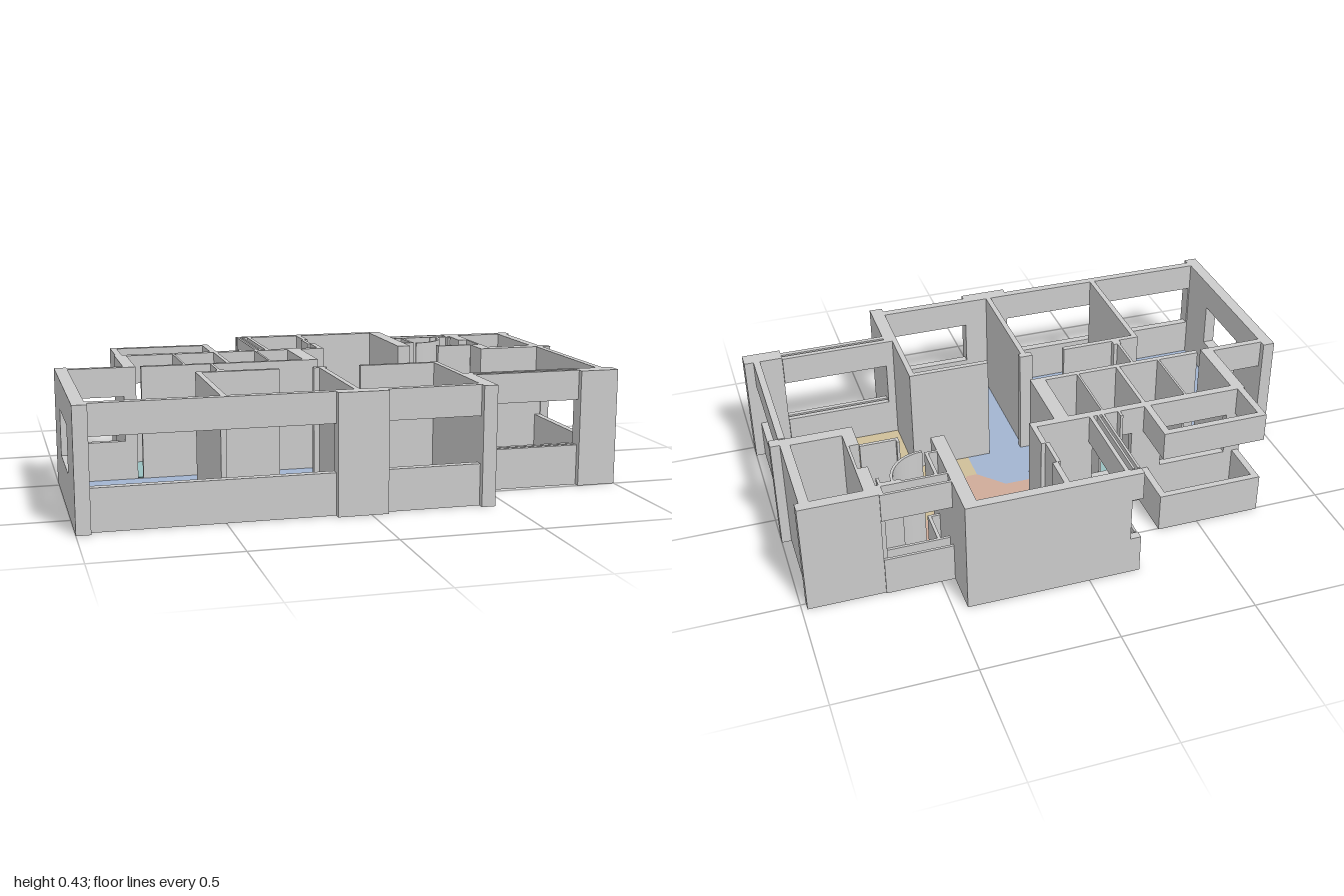
import * as THREE from 'three';

const HEIGHT = 0.43, SILL = 0.15, LINTEL = 0.32;
const grey = new THREE.MeshStandardMaterial({ color: 0xcccccc });
const colors = { blue: 0xa2b4d0, teal: 0x99c0c0, red: 0xcfab99, yellow: 0xcfbf99, beige: 0xc0bab0, stone: 0xb4b7ae };
const materials = {};
for (const key in colors) materials[key] = new THREE.MeshStandardMaterial({ color: colors[key] });

export function createModel() {
  const model = new THREE.Group();
  model.name = 'apartmentPlan';

  const box = (parent, name, [x0, x1, z0, z1], y0, y1) => {
    const mesh = new THREE.Mesh(new THREE.BoxGeometry(x1 - x0, y1 - y0, z1 - z0), grey);
    mesh.position.set((x0 + x1) / 2, (y0 + y1) / 2, (z0 + z1) / 2);
    mesh.name = name;
    parent.add(mesh);
  };
  const group = (name) => {
    const g = new THREE.Group();
    g.name = name;
    model.add(g);
    return g;
  };
  // Full-height walls, each given as x0, x1, z0, z1
  const walls = (name, list) => {
    const g = group(name);
    list.forEach((r) => box(g, 'wall', r, 0, HEIGHT));
  };
  // Window walls: a sill below and a lintel above an open band
  const windows = (name, list) => {
    const g = group(name);
    list.forEach((r) => {
      box(g, 'sill', r, 0, SILL);
      box(g, 'lintel', r, LINTEL, HEIGHT);
    });
  };
  // Thin floor slab from an outline of x, z points
  const floor = (name, color, points) => {
    const shape = new THREE.Shape(points.map(([x, z]) => new THREE.Vector2(x, z)));
    const geo = new THREE.ExtrudeGeometry(shape, { depth: 0.003, bevelEnabled: false });
    geo.rotateX(Math.PI / 2).translate(0, 0.004, 0);
    const mesh = new THREE.Mesh(geo, materials[color]);
    mesh.name = name;
    model.add(mesh);
  };
  const rectFloor = (name, color, x0, x1, z0, z1) =>
    floor(name, color, [[x0, z0], [x1, z0], [x1, z1], [x0, z1]]);

  // Floors
  rectFloor('westRoomFloor', 'blue', -0.955, -0.51, -0.01, 0.645);
  rectFloor('middleRoomFloor', 'blue', -0.49, -0.05, 0.165, 0.645);
  rectFloor('eastRoomFloor', 'blue', -0.03, 0.40, 0.165, 0.645);
  floor('corridorFloor', 'blue', [[-0.51, -0.01], [0, -0.01], [0, -0.06], [0.11, -0.06],
    [0.2, 0.035], [0.2, 0.165], [-0.51, 0.165]]);
  floor('hallFloor', 'red', [[0.09, -0.66], [0.40, -0.66], [0.40, -0.26], [0.45, -0.26], [0.45, -0.33],
    [0.535, -0.33], [0.535, -0.26], [0.24, 0.035], [0.2, 0.035], [0.11, -0.06], [0, -0.06], [0, -0.29], [0.09, -0.29]]);
  floor('livingRoomFloor', 'yellow', [[0.2, 0.035], [0.24, 0.035], [0.535, -0.26], [0.535, -0.33],
    [0.61, -0.39], [0.65, -0.47], [0.70, -0.47], [0.70, -0.10], [0.945, -0.10], [0.945, 0.435], [0.42, 0.435],
    [0.42, 0.165], [0.2, 0.165]]);
  for (const [x0, x1] of [[-0.705, -0.36], [-0.345, -0.06]])
    rectFloor('bathroomFloor', 'teal', x0, x1, -0.285, -0.03);
  rectFloor('northBalconyFloor', 'beige', -0.72, -0.37, -0.48, -0.315);
  rectFloor('eastBalconyFloor', 'beige', 0.745, 0.93, -0.49, -0.15);
  rectFloor('kitchenFloor', 'stone', -0.13, 0.07, -0.66, -0.315);
  rectFloor('shaftFloor', 'stone', 0.50, 0.62, -0.47, -0.34);

  // Outer walls and corner columns
  walls('outerWalls', [
    [-1, -0.955, -0.06, 0.17], [-1, -0.955, 0.46, 0.64], [-1, -0.95, 0.64, 0.695],
    [-0.12, 0.06, 0.64, 0.695], [0.40, 0.45, 0.43, 0.695],
    [0.855, 1, 0.44, 0.50], [-0.75, -0.705, -0.315, -0.01],
    [-0.15, 0.40, -0.695, -0.66], [0.40, 0.45, -0.695, -0.26],
  ]);
  windows('outerWindows', [
    [-1, -0.955, 0.17, 0.46],
    [-0.95, -0.12, 0.64, 0.67], [0.06, 0.40, 0.64, 0.67],
    [0.45, 0.855, 0.43, 0.45], [0.45, 0.855, 0.46, 0.478],
    [0.94, 0.965, -0.10, 0.44],
    [-0.955, -0.75, -0.035, -0.01],
  ]);

  // Kitchen side window, built of slim parallel slats
  windows('kitchenWindow', [
    [-0.187, -0.178, -0.66, -0.315], [-0.168, -0.16, -0.66, -0.315], [-0.145, -0.13, -0.66, -0.315],
    [-0.19, -0.15, -0.695, -0.665],
  ]);

  // North balcony parapet with a raised band
  windows('northBalconyParapet', [
    [-0.745, -0.345, -0.505, -0.48], [-0.745, -0.72, -0.48, -0.315], [-0.37, -0.345, -0.48, -0.315],
  ]);

  // Enclosed east balcony
  walls('eastBalconyWalls', [
    [0.70, 0.98, -0.53, -0.49], [0.93, 0.965, -0.49, -0.15], [0.70, 0.745, -0.15, -0.105],
    [0.745, 0.965, -0.15, -0.105], [0.965, 1, -0.14, -0.10],
    [0.735, 0.745, -0.49, -0.15], [0.70, 0.735, -0.49, -0.36], [0.70, 0.735, -0.22, -0.15],
  ]);

  // Bathroom walls
  walls('bathroomWalls', [
    [-0.705, -0.685, -0.315, -0.285], [-0.42, -0.30, -0.315, -0.285], [-0.10, -0.06, -0.315, -0.285],
    [-0.36, -0.345, -0.285, -0.03], [-0.524, -0.516, -0.285, -0.03], [-0.194, -0.186, -0.285, -0.03],
    [-0.06, -0.005, -0.315, -0.01], [-0.685, -0.06, -0.03, -0.01],
    [-0.25, -0.24, -0.345, -0.315],
  ]);
  windows('bathroomWindows', [[-0.685, -0.42, -0.315, -0.285], [-0.30, -0.10, -0.315, -0.285]]);

  // Partitions between rooms, with open doorways
  walls('partitions', [
    [-0.51, -0.49, 0.155, 0.64], [-0.49, -0.20, 0.155, 0.175], [-0.07, -0.02, 0.155, 0.18],
    [-0.05, -0.03, 0.18, 0.64], [0.11, 0.40, 0.155, 0.175], [0.40, 0.42, 0.155, 0.43],
    [-0.424, -0.414, -0.01, 0.14], [-0.43, -0.40, 0.13, 0.155],
    [0.07, 0.09, -0.66, -0.54], [0.06, 0.075, -0.54, -0.42], [0.07, 0.09, -0.42, -0.285],
    [-0.145, 0.07, -0.315, -0.285],
  ]);

  // Service shaft: double window wall, slim sides and a curved screen
  windows('shaftWindows', [
    [0.45, 0.70, -0.535, -0.525], [0.45, 0.70, -0.485, -0.475],
    [0.482, 0.494, -0.475, -0.34], [0.45, 0.482, -0.35, -0.34],
  ]);
  walls('shaftWalls', [
    [0.685, 0.70, -0.525, -0.485], [0.56, 0.70, -0.235, -0.222], [0.56, 0.57, -0.25, -0.235],
    [0.61, 0.69, -0.475, -0.465], [0.68, 0.69, -0.465, -0.435],
  ]);
  const arc = new THREE.Shape();
  arc.absarc(0.50, -0.47, 0.145, 0, Math.PI / 2, false);
  arc.absarc(0.50, -0.47, 0.135, Math.PI / 2, 0, true);
  const screenGeo = new THREE.ExtrudeGeometry(arc, { depth: HEIGHT, bevelEnabled: false, curveSegments: 10 });
  screenGeo.rotateX(Math.PI / 2).translate(0, HEIGHT, 0);
  const screen = new THREE.Mesh(screenGeo, grey);
  screen.name = 'curvedScreen';
  model.add(screen);

  return model;
}
